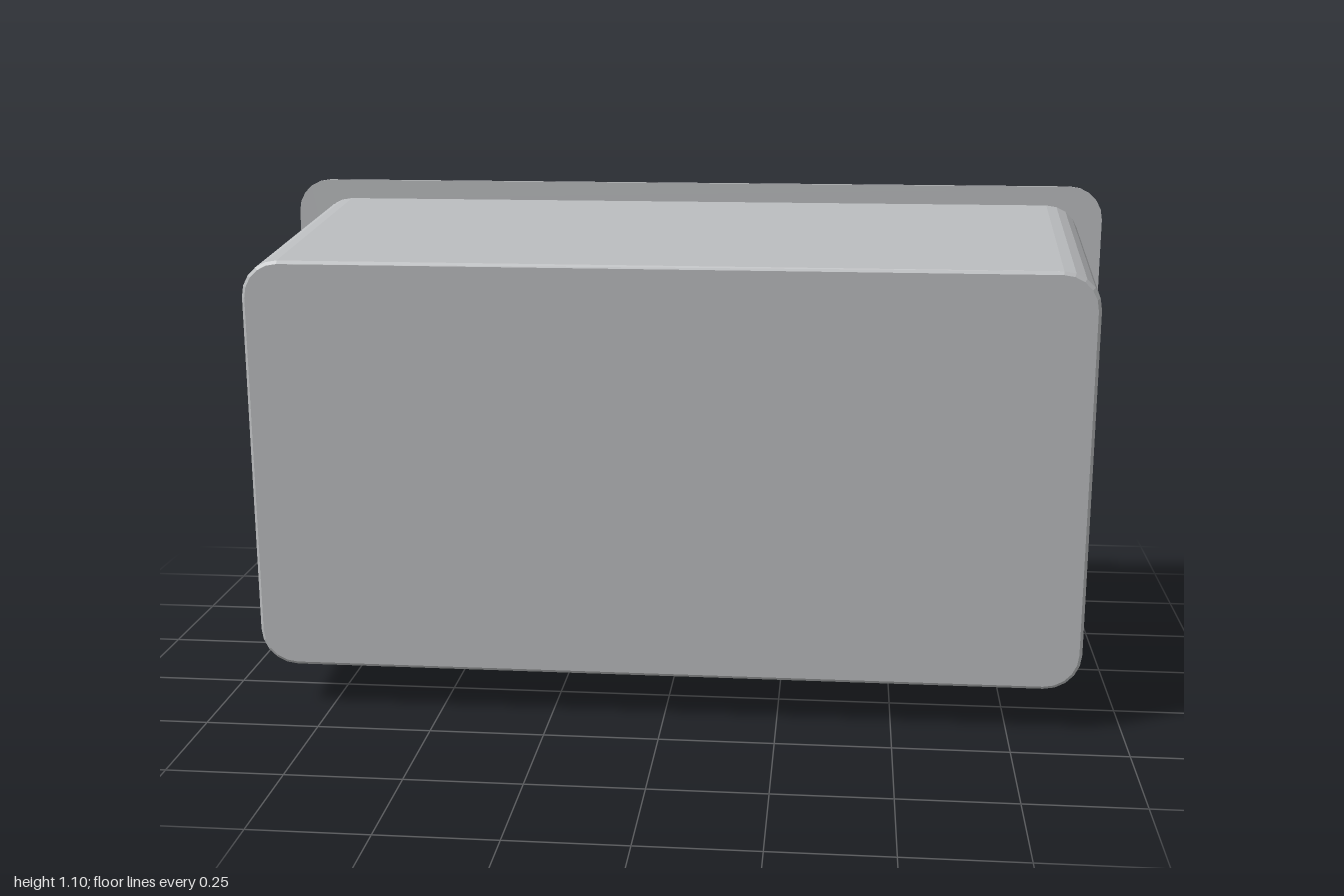
import * as THREE from 'three';

const mat = (name, color, extra = {}) => new THREE.MeshStandardMaterial({ name, color, ...extra });

// Skin a stack of counter-clockwise outlines, each { pts: [[u, v]], h }, along +z
function loft(rings, capStart, capEnd) {
  const pos = [];
  const put = (r, p) => pos.push(p[0], p[1], r.h);
  const n = rings[0].pts.length;
  for (let k = 0; k < rings.length - 1; k++) {
    const a = rings[k], b = rings[k + 1];
    for (let i = 0; i < n; i++) {
      const j = (i + 1) % n;
      put(a, a.pts[i]); put(a, a.pts[j]); put(b, b.pts[j]);
      put(a, a.pts[i]); put(b, b.pts[j]); put(b, b.pts[i]);
    }
  }
  const cap = (r, flip) => {
    for (let i = 1; i < n - 1; i++) {
      put(r, r.pts[0]);
      put(r, r.pts[flip ? i + 1 : i]);
      put(r, r.pts[flip ? i : i + 1]);
    }
  };
  if (capStart) cap(rings[0], true);
  if (capEnd) cap(rings[rings.length - 1], false);
  const g = new THREE.BufferGeometry();
  g.setAttribute('position', new THREE.Float32BufferAttribute(pos, 3));
  g.computeVertexNormals();
  return g;
}

// Rounded rectangle outline, counter-clockwise
function roundRect(hx, hy, r, cy = 0, seg = 5) {
  const pts = [];
  [[1, 1], [-1, 1], [-1, -1], [1, -1]].forEach(([sx, sy], q) => {
    for (let i = 0; i <= seg; i++) {
      const a = (q + i / seg) * Math.PI / 2;
      pts.push([sx * (hx - r) + r * Math.cos(a), cy + sy * (hy - r) + r * Math.sin(a)]);
    }
  });
  return pts;
}

// Plan outline with cut corners: x0 front, x1 rear, half width w, cuts cf and cr
const plan = (x0, x1, w, cf, cr) => [
  [x1, -w + cr], [x1, w - cr], [x1 - cr, w], [x0 + cf, w],
  [x0, w - cf * 0.6], [x0, -w + cf * 0.6], [x0 + cf, -w], [x1 - cr, -w],
];

export function createModel() {
  const model = new THREE.Group();
  const tray = mat('tray grey', 0xbabcbe, { side: THREE.DoubleSide });
  const paint = mat('body grey', 0xc5c9ca);
  const orange = mat('orange', 0xdc9a28);
  const black = mat('rubber black', 0x3b3c40);
  const rim = mat('rim grey', 0xaaadaf);

  const add = (parent, name, geo, material, x = 0, y = 0, z = 0) => {
    const m = new THREE.Mesh(geo, material);
    m.name = name;
    m.position.set(x, y, z);
    parent.add(m);
    return m;
  };
  const box = (parent, name, material, x0, x1, y0, y1, w) =>
    add(parent, name, new THREE.BoxGeometry(x1 - x0, y1 - y0, 2 * w), material, (x0 + x1) / 2, (y0 + y1) / 2, 0);

  // Tapered tray, open at the back
  const cy = 0.5535;
  add(model, 'trayShell', loft([
    { pts: roundRect(0.945, 0.5025, 0.08, cy), h: -0.38 },
    { pts: roundRect(0.906, 0.456, 0.08, cy), h: 0.378 },
    { pts: roundRect(0.899, 0.449, 0.074, cy), h: 0.384 },
  ], false, true), tray);

  // Flat flange around the opening
  const toVec = (pts) => pts.map((p) => new THREE.Vector2(p[0], p[1]));
  const ring = new THREE.Shape(toVec(roundRect(1, 0.551, 0.08, 0.551)));
  ring.holes.push(new THREE.Path(toVec(roundRect(0.945, 0.5025, 0.08, cy).reverse())));
  add(model, 'trayFlange', new THREE.ExtrudeGeometry(ring, { depth: 0.009, bevelEnabled: false }), tray, 0, 0, -0.384);

  // Toy vehicle inside, nose towards -x
  const car = new THREE.Group();
  car.name = 'toyCar';
  model.add(car);
  const upright = (rings) => loft(rings, true, true).rotateX(-Math.PI / 2);

  add(car, 'lowerBody', upright([
    { pts: plan(-0.59, 0.51, 0.27, 0.12, 0.04), h: 0.26 },
    { pts: plan(-0.59, 0.51, 0.27, 0.12, 0.04), h: 0.435 },
    { pts: plan(-0.565, 0.485, 0.245, 0.11, 0.035), h: 0.46 },
  ]), paint);
  add(car, 'cabin', upright([
    { pts: plan(-0.48, 0.458, 0.235, 0.012, 0.012), h: 0.475 },
    { pts: plan(-0.447, 0.434, 0.215, 0.012, 0.012), h: 0.76 },
    { pts: plan(-0.435, 0.422, 0.203, 0.012, 0.012), h: 0.773 },
  ]), paint);
  box(car, 'cabinSeam', orange, -0.482, 0.46, 0.457, 0.476, 0.232);

  // Two-tier roof unit
  add(car, 'roofUnit', upright([
    { pts: plan(-0.095, 0.305, 0.085, 0.015, 0.015), h: 0.77 },
    { pts: plan(-0.095, 0.305, 0.085, 0.015, 0.015), h: 0.825 },
    { pts: plan(-0.085, 0.295, 0.075, 0.015, 0.015), h: 0.835 },
  ]), orange);
  box(car, 'roofUnitTop', orange, 0, 0.21, 0.83, 0.86, 0.045);

  // Chassis, sills and bumpers
  box(car, 'chassis', orange, -0.53, 0.52, 0.2, 0.265, 0.22);
  box(car, 'sills', orange, -0.25, 0.25, 0.21, 0.265, 0.295);
  box(car, 'frontStep', orange, -0.64, -0.52, 0.19, 0.22, 0.25);
  for (const [name, x] of [['frontBumper', -0.6], ['rearBumper', 0.55]]) {
    const bar = new THREE.CapsuleGeometry(0.028, 0.46, 4, 10).rotateX(Math.PI / 2);
    add(car, name, bar, black, x, 0.255, 0);
  }

  // Wheels: chamfered tyre, rim disc and hub cap; axles between them
  const profile = [[0.08, -0.055], [0.112, -0.055], [0.135, -0.034], [0.135, 0.034], [0.112, 0.055], [0.08, 0.055]]
    .map(([r, h]) => new THREE.Vector2(r, h));
  const tyreGeo = new THREE.LatheGeometry(profile, 14).toNonIndexed().rotateX(Math.PI / 2);
  tyreGeo.computeVertexNormals();
  const disc = (r, d) => new THREE.CylinderGeometry(r, r, d, 16).rotateX(Math.PI / 2);
  for (const x of [-0.36, 0.36]) {
    for (const s of [-1, 1]) {
      const wheel = new THREE.Group();
      wheel.name = 'wheel';
      wheel.position.set(x, 0.22, s * 0.305);
      add(wheel, 'tyre', tyreGeo, black);
      add(wheel, 'rim', disc(0.083, 0.112), rim);
      add(wheel, 'hubCap', disc(0.042, 0.122), black);
      car.add(wheel);
    }
    add(car, 'axle', disc(0.025, 0.56), black, x, 0.2, 0);
  }
  return model;
}
